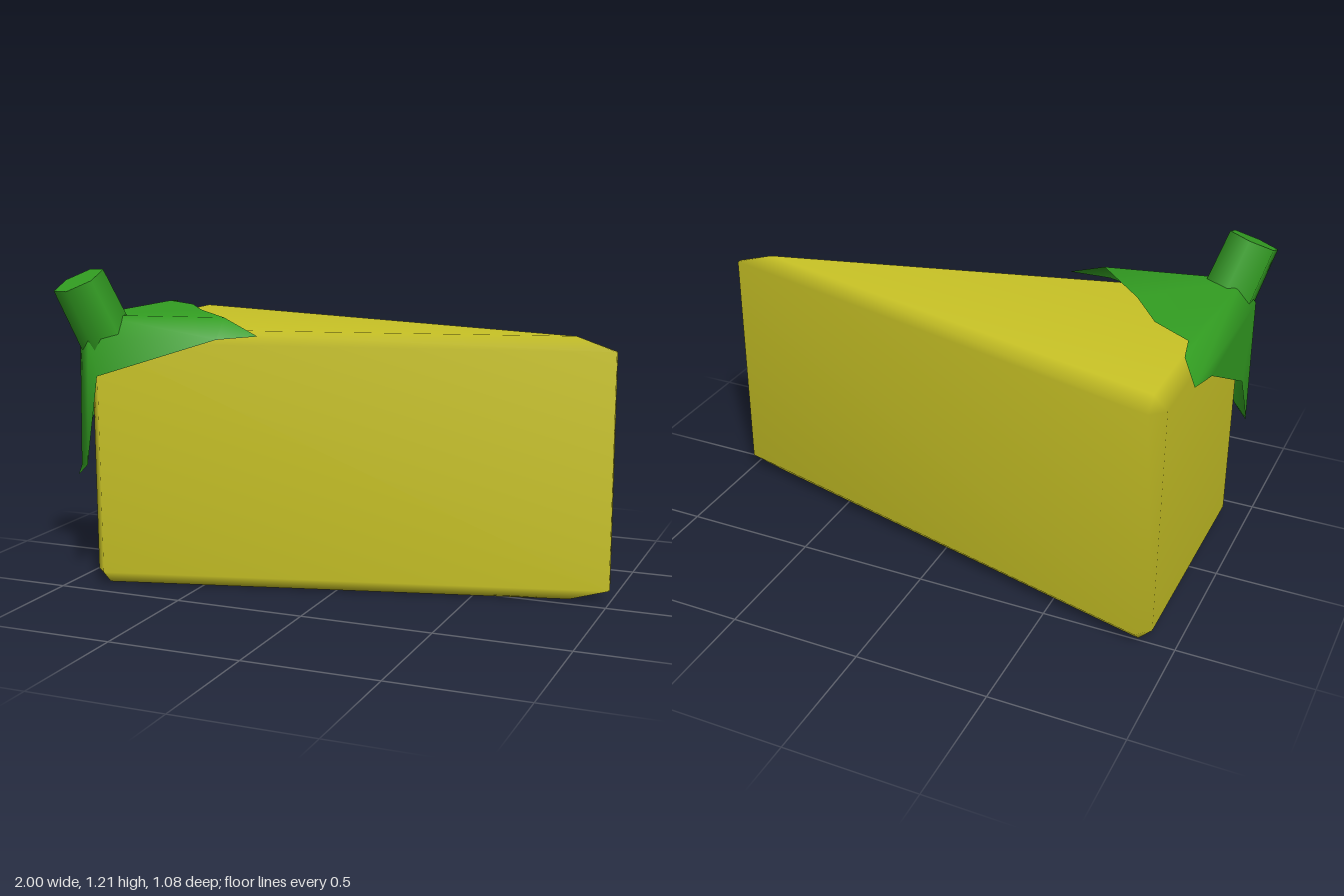
import * as THREE from 'three';

const yellow = new THREE.MeshStandardMaterial({ color: 0xcac426 });
const green = new THREE.MeshStandardMaterial({ color: 0x339f22 });
const leafGreen = new THREE.MeshStandardMaterial({ color: 0x339f22, side: THREE.DoubleSide });

// Smooth mesh from shared points and polygons (each split as a fan)
function polyMesh(name, points, faces, material) {
  const geometry = new THREE.BufferGeometry();
  geometry.setAttribute('position', new THREE.Float32BufferAttribute(points.flat(), 3));
  const index = [];
  for (const f of faces) {
    for (let i = 1; i < f.length - 1; i++) index.push(f[0], f[i], f[i + 1]);
  }
  geometry.setIndex(index);
  geometry.computeVertexNormals();
  const mesh = new THREE.Mesh(geometry, material);
  mesh.name = name;
  return mesh;
}

// Three-cornered wedge with bevelled edges and corners
function makeWedge() {
  const inner = [[-0.86, 0.38], [0.85, -0.06], [-0.86, -0.49]];
  const rim = [[-0.91, 0.38], [-0.86, 0.43], [1, -0.05], [1, -0.07], [-0.86, -0.54], [-0.91, -0.49]];
  const at = (y) => ([x, z]) => [x, y, z];
  // 0-2 top, 3-8 upper rim, 9-14 lower rim, 15-17 bottom
  const points = [
    ...inner.map(at(0.99)), ...rim.map(at(0.94)),
    ...rim.map(at(0.05)), ...inner.map(at(0)),
  ];
  const faces = [[0, 1, 2], [17, 16, 15]];
  for (let c = 0; c < 3; c++) {
    const n = (c + 1) % 3;
    const a = 2 * c, b = a + 1, d = 2 * n;
    faces.push([c, 3 + a, 3 + b], [15 + c, 9 + b, 9 + a]); // corner bevels
    faces.push([c, 3 + b, 3 + d, n], [15 + n, 9 + d, 9 + b, 15 + c]); // edge bevels
    faces.push([3 + a, 9 + a, 9 + b, 3 + b], [3 + b, 9 + b, 9 + d, 3 + d]); // walls
  }
  return polyMesh('wedgeBody', points, faces, yellow);
}

// Three-lobed leaf folded over one upper corner
function makeLeaf() {
  const points = [
    [-0.9, 1.04, 0.39], [-0.4, 1.04, 0.28], [-0.6, 1.04, 0.08], [-0.72, 1.04, -0.08],
    [-0.87, 1.04, -0.17], [-0.89, 1.03, -0.27], [-0.96, 0.98, -0.37], // top and back tip
    [-0.96, 0.96, 0.38], [-0.87, 0.96, 0.47], // shoulder
    [-0.4, 0.965, 0.35], [-0.25, 0.98, 0.31], [-0.84, 0.82, 0.465], // front lobe
    [-0.89, 0.48, 0.47], [-0.95, 0.43, 0.44], [-0.96, 0.46, 0.4], // hanging lobe
    [-0.96, 0.68, 0.28], [-0.96, 0.92, -0.16], // side edge
  ];
  const faces = [
    [0, 1, 2, 3, 4, 5],
    [0, 5, 6, 7], [7, 6, 16, 15, 14],
    [0, 7, 8], [7, 14, 12, 8], [14, 13, 12],
    [8, 12, 11], [8, 11, 9], [0, 8, 9, 1], [1, 9, 10],
  ];
  return polyMesh('leaf', points, faces, leafGreen);
}

// Short tilted six-sided stem
function makeStem() {
  const base = new THREE.Vector3(-0.85, 0.95, 0.365);
  const tip = new THREE.Vector3(-0.915, 1.175, 0.45);
  const axis = tip.clone().sub(base);
  const stem = new THREE.Mesh(new THREE.CylinderGeometry(0.1, 0.105, axis.length(), 6), green);
  stem.position.copy(base).add(tip).multiplyScalar(0.5);
  stem.quaternion.setFromUnitVectors(new THREE.Vector3(0, 1, 0), axis.normalize());
  stem.name = 'stem';
  return stem;
}

export function createModel() {
  const group = new THREE.Group();
  group.name = 'wedgeWithLeaf';
  group.add(makeWedge(), makeLeaf(), makeStem());
  return group;
}
